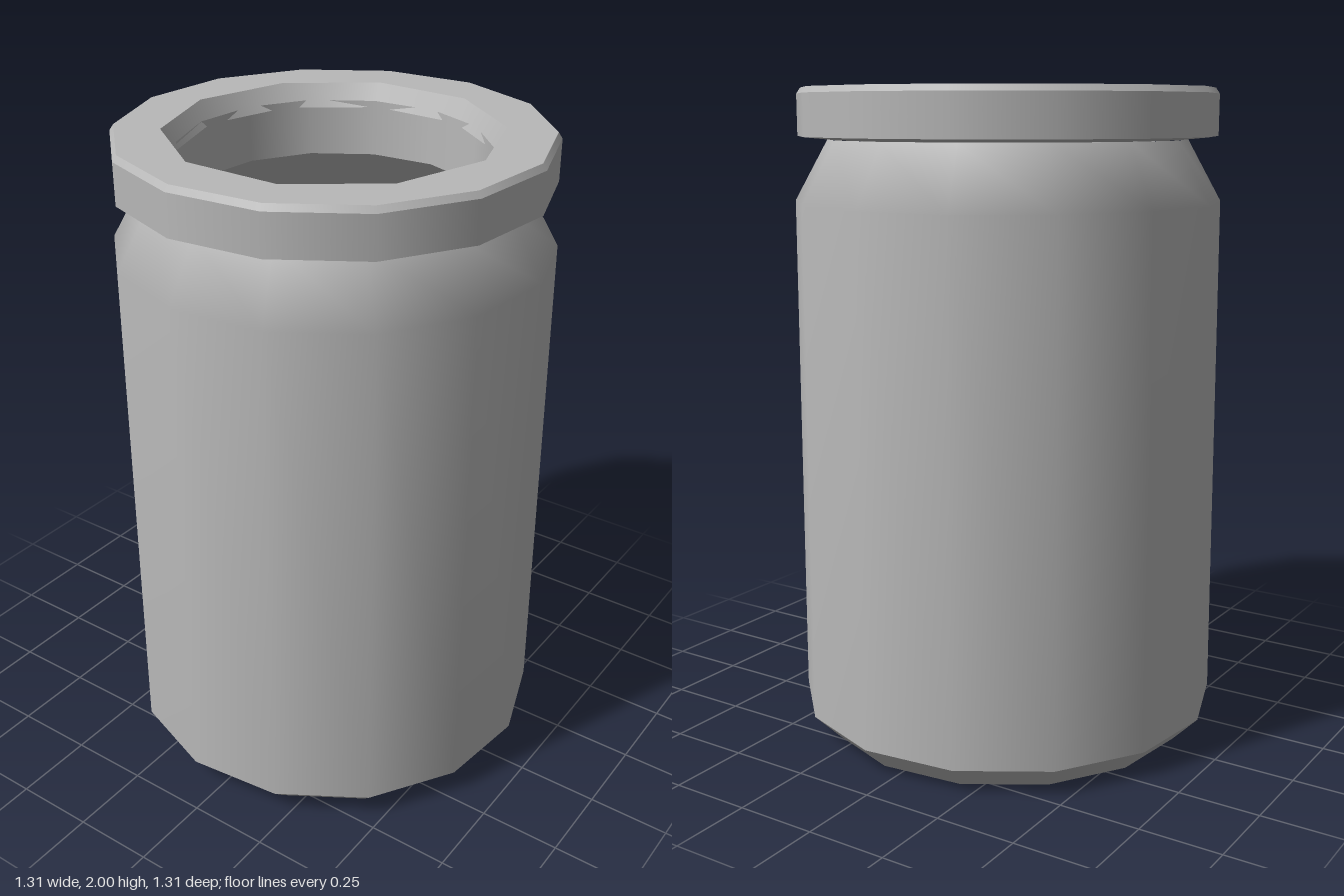
import * as THREE from 'three';

export function createModel() {
  const jar = new THREE.Group();
  jar.name = 'jar';
  const grey = new THREE.MeshStandardMaterial({ color: 0xb8b8b8 });
  grey.name = 'grey';
  const SIDES = 14, TURN = 0.105;

  const add = (name, geometry) => {
    const mesh = new THREE.Mesh(geometry, grey);
    mesh.name = name;
    jar.add(mesh);
  };
  // One smooth band of the turned profile; neighbouring bands meet in a sharp edge
  const band = (name, points, sides = SIDES, turn = TURN) =>
    add(name, new THREE.LatheGeometry(
      points.map(([r, y]) => new THREE.Vector2(r, y)), sides, turn));
  // Regular outline, already flipped for laying flat
  const ring = (r, sides, turn) => Array.from({ length: sides }, (_, i) => {
    const a = turn + (i / sides) * Math.PI * 2;
    return new THREE.Vector2(r * Math.sin(a), -r * Math.cos(a));
  });

  // Outside
  band('base', [[0, 0], [0.58, 0]]);
  band('baseChamfer', [[0.58, 0], [0.66, 0.08]]);
  band('body', [[0.66, 0.08], [0.653, 1.66], [0.55, 1.845]]);

  // Rim collar
  band('rimUnderside', [[0.54, 1.845], [0.642, 1.855]]);
  band('rimSide', [[0.642, 1.855], [0.642, 1.98]]);
  band('rimBevel', [[0.642, 1.98], [0.63, 1.998]]);

  // Flat rim top with a ten-sided opening
  const top = new THREE.Shape(ring(0.63, SIDES, TURN));
  top.holes.push(new THREE.Path(ring(0.49, 10, 0).reverse()));
  const topGeometry = new THREE.ShapeGeometry(top);
  topGeometry.rotateX(-Math.PI / 2).translate(0, 1.998, 0);
  add('rimTop', topGeometry);

  // Hollow inside
  band('mouthBevel', [[0.49, 1.998], [0.455, 1.93]], 10, 0);
  band('neckInside', [[0.452, 1.95], [0.448, 1.78]]);
  band('shoulderInside', [[0.448, 1.78], [0.58, 1.63]]);
  band('wallInside', [[0.58, 1.63], [0.59, 0.14], [0.52, 0.08]]);
  band('floorInside', [[0.52, 0.08], [0, 0.08]]);

  return jar;
}
